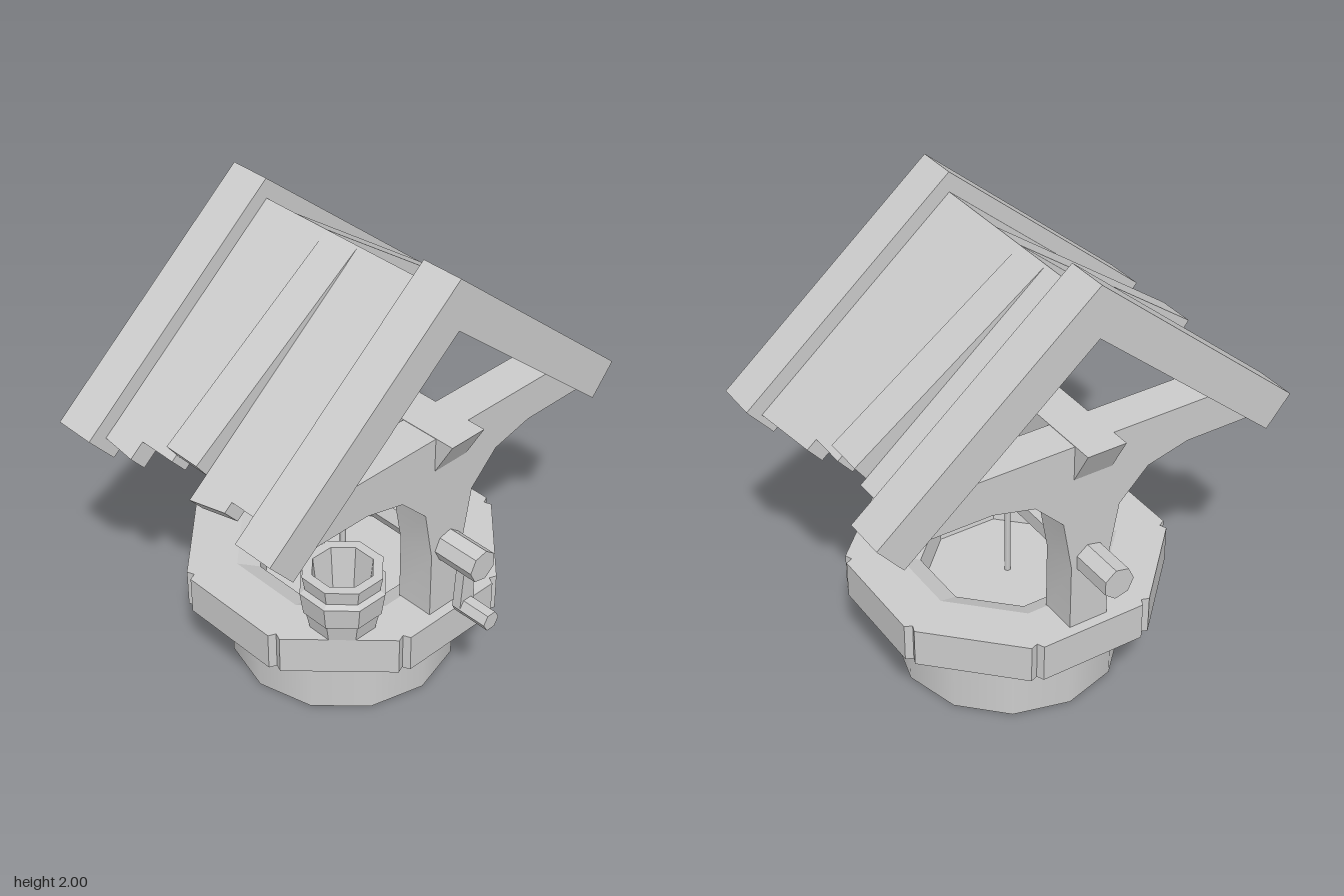
import * as THREE from 'three';
import { toCreasedNormals } from 'three/addons/utils/BufferGeometryUtils.js';

const material = new THREE.MeshStandardMaterial({ color: 0xcccccc });

function add(parent, name, geometry, x = 0, y = 0, z = 0) {
  const mesh = new THREE.Mesh(geometry, material);
  mesh.name = name;
  mesh.position.set(x, y, z);
  parent.add(mesh);
  return mesh;
}

// Joins matching closed loops of [x, y, z] points, stacked along +x, into a faceted solid
function loft(loops) {
  const pos = [];
  const tri = (a, b, c) => pos.push(...a, ...b, ...c);
  const n = loops[0].length;
  for (let k = 0; k < loops.length - 1; k++) {
    const a = loops[k], b = loops[k + 1];
    for (let i = 0; i < n; i++) {
      const j = (i + 1) % n;
      tri(b[i], a[i], a[j]);
      tri(b[i], a[j], b[j]);
    }
  }
  const first = loops[0], last = loops[loops.length - 1];
  for (let i = 1; i < n - 1; i++) {
    tri(last[0], last[i], last[i + 1]);
    tri(first[0], first[i + 1], first[i]);
  }
  const g = new THREE.BufferGeometry();
  g.setAttribute('position', new THREE.Float32BufferAttribute(pos, 3));
  g.computeVertexNormals();
  return g;
}

// Sloping board from the ridge down to the eave; its end may be cut askew
function board(x0, x1, { ridge = 1.916, slope = 0.84, end0 = 0.78, end1 = end0, thick = 0.09 }) {
  const c = 1 / Math.hypot(1, slope), s = slope * c;
  const section = (x, e) => [
    [x, ridge, 0],
    [x, ridge - slope * e, e],
    [x, ridge - slope * e - thick * c, e - thick * s],
    [x, ridge - thick / c, 0],
  ];
  return loft([section(x0, end0), section(x1, end1)]);
}

// Bar along x, faceted
function bar(radius, length, sides) {
  const g = new THREE.CylinderGeometry(radius, radius, length, sides).toNonIndexed();
  g.rotateZ(Math.PI / 2);
  g.computeVertexNormals();
  return g;
}

export function createModel() {
  const model = new THREE.Group();
  model.name = 'well';
  const well = new THREE.Group();
  well.name = 'wellBody';
  well.position.x = -0.03;
  model.add(well);

  // Round base; its top is the floor inside the rim
  const base = new THREE.CylinderGeometry(0.47, 0.47, 0.37, 12);
  add(well, 'base', base, 0, 0.185, 0);

  // Eight rim stones with bevelled joints
  const T = Math.tan(Math.PI / 8);
  const profile = [[0.42, 0.51], [0.617, 0.51], [0.617, 0.345], [0.5, 0.288], [0.3, 0.288], [0.33, 0.465]];
  const inset = profile.map(([r, y]) => [r > 0.6 ? r - 0.03 : r, y]);
  const joint = (sgn) => inset.map(([r, y]) => [sgn * r * T, y, r]);
  const shoulder = (sgn) => profile.map(([r, y]) => [sgn * (r * T - 0.026), y, r]);
  const stone = loft([joint(-1), shoulder(-1), shoulder(1), joint(1)]);
  for (let i = 0; i < 8; i++) {
    add(well, 'rimStone', stone).rotation.y = (i * Math.PI) / 4;
  }

  // Two posts flaring into the roof beams
  const half = [[0.085, 0.48], [0.085, 0.8], [0.125, 1.02], [0.25, 1.145], [0.43, 1.19], [0.76, 1.19], [0.6, 1.355]];
  const outline = [...half, ...half.slice().reverse().map(([z, y]) => [-z, y])];
  const postShape = new THREE.Shape(outline.map(([z, y]) => new THREE.Vector2(z, y)));
  let post = new THREE.ExtrudeGeometry(postShape, { depth: 0.165, bevelEnabled: false });
  post.translate(0, 0, -0.0825);
  post.rotateY(Math.PI / 2);
  post = toCreasedNormals(post, 0.6);
  for (const side of [-1, 1]) add(well, 'post', post, side * 0.4925);

  // Cross beam with undercut ends
  const beamEnd = (s) => [[s * 0.657, 1.357, -0.084], [s * 0.657, 1.357, 0.084], [s * 0.565, 1.19, 0.084], [s * 0.565, 1.19, -0.084]];
  add(well, 'crossBeam', loft([beamEnd(-1), beamEnd(1)]));

  // Roof: heavy end boards and thinner boards between, one of them lifted on each slope
  const front = new THREE.Group();
  front.name = 'frontRoof';
  const back = new THREE.Group();
  back.name = 'backRoof';
  back.rotation.y = Math.PI;
  well.add(front, back);
  const heavy = { ridge: 2, end0: 0.907, thick: 0.163 };
  const lifted = { slope: 0.72, end0: 0.8 };
  for (const slope of [front, back]) {
    add(slope, 'endBoard', board(-0.59, -0.41, heavy));
    add(slope, 'endBoard', board(0.41, 0.59, heavy));
  }
  const frontBoards = [
    [-0.41, -0.25, { end0: 0.83, end1: 0.84 }],
    [-0.25, -0.08, {}],
    [-0.08, 0.085, lifted],
    [0.085, 0.25, { end0: 0.84, end1: 0.815 }],
    [0.25, 0.41, {}],
  ];
  const backBoards = [
    [-0.41, -0.085, { end0: 0.845, end1: 0.82 }],
    [-0.085, 0.08, {}],
    [0.08, 0.25, lifted],
    [0.25, 0.41, {}],
  ];
  for (const [x0, x1, o] of frontBoards) add(front, 'roofBoard', board(x0, x1, o));
  for (const [x0, x1, o] of backBoards) add(back, 'roofBoard', board(x0, x1, o));

  // Roller, rope coil and rope
  add(well, 'roller', bar(0.067, 1.52, 7), 0, 0.818, 0);
  add(well, 'ropeCoil', bar(0.117, 0.08, 7), 0, 0.818, 0);
  add(well, 'rope', new THREE.CylinderGeometry(0.013, 0.013, 0.46, 6), 0, 0.59, 0);

  // Crank arm, wider at the grip, and its handle
  const armSide = (x) => [[x, 0.8, -0.022], [x, 0.8, 0.022], [x, 0.58, 0.04], [x, 0.55, 0.025], [x, 0.55, -0.025], [x, 0.58, -0.04]];
  add(well, 'crankArm', loft([armSide(0.65), armSide(0.69)]));
  add(well, 'crankHandle', bar(0.041, 0.165, 6), 0.733, 0.58, 0);

  // Open bucket standing on the rim
  const bucketProfile = [
    [0, 0.505], [0.135, 0.505], [0.152, 0.585], [0.162, 0.59], [0.176, 0.69], [0.155, 0.705],
    [0.166, 0.768], [0.125, 0.768], [0.105, 0.57], [0, 0.57],
  ].map(([r, y]) => new THREE.Vector2(r, y));
  const bucket = new THREE.LatheGeometry(bucketProfile, 8, Math.PI / 8).toNonIndexed();
  bucket.computeVertexNormals();
  add(well, 'bucket', bucket, 0.355, 0, 0.34);

  return model;
}
